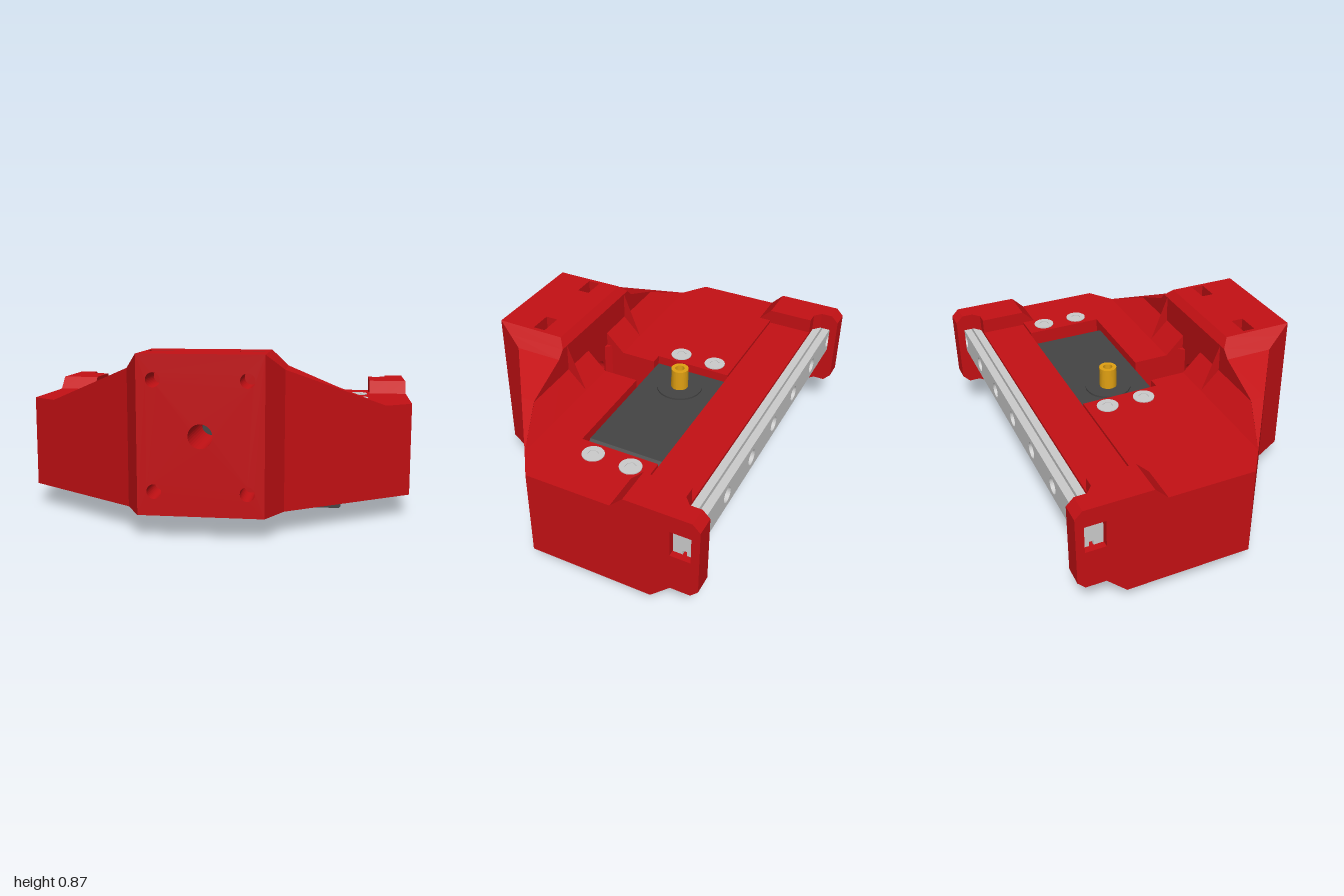
import * as THREE from 'three';

const mat = (color) => new THREE.MeshStandardMaterial({ color });
const red = mat(0xc41014), dark = mat(0x444444), steel = mat(0xcccccc), brass = mat(0xe0a012);

const BASE = 0.11, DECK = 0.585, TOP = 0.87;

function add(parent, name, geometry, material) {
  const mesh = new THREE.Mesh(geometry, material);
  mesh.name = name;
  parent.add(mesh);
  return mesh;
}

function box(x0, x1, y0, y1, z0, z1) {
  return new THREE.BoxGeometry(x1 - x0, y1 - y0, z1 - z0)
    .translate((x0 + x1) / 2, (y0 + y1) / 2, (z0 + z1) / 2);
}

const polygon = (pts) => new THREE.Shape(pts.map(([a, b]) => new THREE.Vector2(a, b)));
const rect = (x0, x1, y0, y1) => polygon([[x0, y0], [x1, y0], [x1, y1], [x0, y1]]);
const circle = (x, y, r) => new THREE.Path().absarc(x, y, r, 0, Math.PI * 2, true);

function extrude(shape, depth) {
  return new THREE.ExtrudeGeometry(shape, { depth, bevelEnabled: false, curveSegments: 16 });
}
// Outline in (x, y), running from z0 to z1
function plateZ(shape, z0, z1, holes = []) {
  shape.holes.push(...holes);
  return extrude(shape, z1 - z0).translate(0, 0, z0);
}
// Outline in (z, y), running from x0 to x1
function prismX(pts, x0, x1, hole) {
  const flip = (list) => polygon(list.map(([z, y]) => [-z, y]));
  const shape = flip(pts);
  if (hole) shape.holes.push(flip(hole));
  return extrude(shape, x1 - x0).rotateY(Math.PI / 2).translate(x0, 0, 0);
}
// Outline in (x, z), running from y0 to y1
function prismY(pts, y0, y1) {
  return extrude(polygon(pts.map(([x, z]) => [x, -z])), y1 - y0)
    .rotateX(-Math.PI / 2).translate(0, y0, 0);
}
// Round upright ring with a bore of any number of sides
function ring(x, z, r, bore, sides, y0, y1) {
  const shape = new THREE.Shape().absarc(0, 0, r, 0, Math.PI * 2);
  const hole = [];
  for (let i = 0; i < sides; i++) {
    const a = (i / sides) * Math.PI * 2;
    hole.push([Math.cos(a) * bore, Math.sin(a) * bore]);
  }
  shape.holes.push(polygon(hole));
  return extrude(shape, y1 - y0).rotateX(-Math.PI / 2).translate(x, y0, z);
}

// Piecewise linear lookup
function lerpTable(table, v) {
  if (v <= table[0][0]) return table[0][1];
  for (let i = 1; i < table.length; i++) {
    const [a, fa] = table[i - 1], [b, fb] = table[i];
    if (v <= b) return fa + (fb - fa) * (v - a) / (b - a);
  }
  return table[table.length - 1][1];
}

// Joins (z, y) cross-sections at rising x into a closed solid
function loft(xs, section) {
  const pos = [];
  const rows = xs.map((x) => section(Math.abs(x)).map(([z, y]) => [x, y, z]));
  const n = rows[0].length;
  const tri = (a, b, c) => pos.push(...a, ...b, ...c);
  for (let k = 0; k + 1 < rows.length; k++) {
    for (let i = 0; i < n; i++) {
      const j = (i + 1) % n;
      tri(rows[k][i], rows[k + 1][i], rows[k + 1][j]);
      tri(rows[k][i], rows[k + 1][j], rows[k][j]);
    }
  }
  const first = rows[0], last = rows[rows.length - 1];
  for (let i = 1; i + 1 < n; i++) {
    tri(first[0], first[i], first[i + 1]);
    tri(last[0], last[i + 1], last[i]);
  }
  const g = new THREE.BufferGeometry();
  g.setAttribute('position', new THREE.Float32BufferAttribute(pos, 3));
  g.computeVertexNormals();
  return g;
}

// Front wing: tapering plan, sloping ridge, stepped back face
const frontZ = (x) => lerpTable([[0.3, 0.735], [0.38, 0.58], [1, 0.14]], x);
const ridgeY = (x) => lerpTable([[0.3, TOP], [0.38, 0.79], [0.866, DECK]], x);
const backZ = (y) => lerpTable([[DECK, 0.235], [0.685, 0.335], [0.83, 0.335], [TOP, 0.37]], y);
function wingSection(x) {
  const f = frontZ(x), h = ridgeY(x);
  const back = [h, 0.83, 0.685, DECK].map((y) => Math.min(y, h))
    .map((y) => [Math.min(backZ(y), f), y]);
  return [[0.045, BASE], [f, BASE], [f, h], ...back, [0.045, DECK]];
}

function buildFrontBlock(body) {
  const screws = () => [-0.22, 0.22].flatMap((x) => [0.225, 0.75].map((y) => circle(x, y, 0.035)));
  const bore = () => circle(0, 0.49, 0.058);
  const full = () => rect(-0.3, 0.3, BASE, TOP);
  add(body, 'frontFace', plateZ(full(), 0.545, 0.735, [...screws(), bore()]), red);
  // Layer with nut slots open above and below
  const half = [[0.16, BASE], [0.16, 0.285], [0.28, 0.285], [0.28, BASE], [0.3, BASE],
    [0.3, TOP], [0.28, TOP], [0.28, 0.69], [0.16, 0.69], [0.16, TOP]];
  const mirrored = half.map(([x, y]) => [-x, y]).reverse();
  add(body, 'nutSlots', plateZ(polygon([...half, ...mirrored]), 0.48, 0.545, [bore()]), red);
  add(body, 'frontBlock', plateZ(full(), 0.37, 0.48, [bore()]), red);
  add(body, 'frontBlockBack', plateZ(rect(-0.3, 0.3, BASE, 0.83), 0.335, 0.37, [bore()]), red);
  add(body, 'frontBlockChamfer', prismX([[0.37, 0.83], [0.37, TOP], [0.335, 0.83]], -0.3, 0.3), red);
}

function buildSide(body, s) {
  const span = (a, b) => (s > 0 ? [a, b] : [-b, -a]);
  const xs = [0.3, 0.34, 0.38, 0.62, 0.866, 1];
  add(body, 'frontWing', loft(s > 0 ? xs : xs.map((x) => -x).reverse(), wingSection), red);
  // Deck beside the central slot, with the slot's corner chamfer
  add(body, 'slotSide', prismX([[0.045, BASE], [0.335, BASE], [0.335, 0.685], [0.235, DECK],
    [0.045, DECK]], ...span(0.1, 0.3)), red);
  add(body, 'slotCorner', prismY([[s * 0.1, 0.335], [s * 0.1, 0.305], [s * 0.07, 0.335]], BASE, 0.61), red);

  // Ear, with an opening for the rail end
  add(body, 'earInner', prismX([[-0.3, DECK], [-0.365, 0.65], [-0.605, 0.65], [-0.605, 0.21],
    [-0.5, BASE], [-0.3, BASE]], ...span(0.8, 0.9)), red);
  add(body, 'earOuter', prismX([[-0.3, DECK], [-0.365, 0.65], [-0.7, 0.65], [-0.738, 0.612],
    [-0.738, 0.25], [-0.7, 0.21], [-0.6, 0.21], [-0.5, BASE], [-0.3, BASE]], ...span(0.9, 1),
    [[-0.595, 0.415], [-0.697, 0.415], [-0.697, 0.558], [-0.595, 0.558]]), red);
  for (const [y0, y1] of [[0.21, 0.415], [0.558, 0.65]]) {
    add(body, 'earChamfer', prismY([[s * 0.9, -0.605], [s * 0.86, -0.605], [s * 0.9, -0.64]], y0, y1), red);
  }
}

function buildBody() {
  const body = new THREE.Group();
  body.name = 'body';
  buildFrontBlock(body);
  buildSide(body, 1);
  buildSide(body, -1);
  // Deck around the motor pocket, wider below for the mounting flange
  for (const [x0, x1, y0, y1] of [[-1, -0.3, BASE, 0.4], [-1, -0.16, 0.4, DECK],
    [0.8, 1, BASE, 0.4], [0.655, 1, 0.4, DECK]]) {
    add(body, 'deck', box(x0, x1, y0, y1, -0.365, 0.045), red);
  }
  add(body, 'rearBeam', prismX([[-0.365, BASE], [-0.5, BASE], [-0.605, 0.21], [-0.605, 0.57],
    [-0.365, 0.57]], -0.8, 0.8), red);
  return body;
}

function buildMotor() {
  const motor = new THREE.Group();
  motor.name = 'motor';
  add(motor, 'motorCase', plateZ(polygon([[-0.14, 0], [0.64, 0], [0.65, 0.01], [0.65, 0.49],
    [0.59, 0.545], [-0.15, 0.545], [-0.15, 0.01]]), -0.36, 0.04), dark);
  add(motor, 'motorFlange', box(-0.28, 0.78, 0.345, 0.4, -0.36, 0.04), dark);
  add(motor, 'shaftBoss', new THREE.CylinderGeometry(0.12, 0.12, 0.04, 32).translate(0, 0.535, -0.16), dark);
  add(motor, 'shaft', ring(0, -0.16, 0.045, 0.024, 20, 0.55, 0.665), brass);
  add(motor, 'shaftBore', new THREE.CylinderGeometry(0.03, 0.03, 0.05, 16).translate(0, 0.58, -0.16), dark);
  return motor;
}

function buildRail() {
  const rail = new THREE.Group();
  rail.name = 'rail';
  // Base, grooved neck and head, with counterbored holes
  const layers = [['railBase', 0.418, 0.555, -0.645, -0.597, 0.022],
    ['railNeck', 0.442, 0.531, -0.665, -0.645, 0.022],
    ['railHead', 0.418, 0.555, -0.695, -0.665, 0.04]];
  for (const [name, y0, y1, z0, z1, r] of layers) {
    const holes = [-0.9, -0.6, -0.3, 0, 0.3, 0.6, 0.9].map((x) => circle(x, (y0 + y1) / 2, r));
    add(rail, name, plateZ(rect(-0.97, 0.97, y0, y1), z0, z1, holes), steel);
  }
  return rail;
}

export function createModel() {
  const model = new THREE.Group();
  model.name = 'motorCarriage';
  model.add(buildBody(), buildMotor(), buildRail());
  // Socket screws holding the motor flange
  for (const x of [-0.23, 0.73]) {
    for (const z of [-0.26, -0.06]) {
      add(model, 'screwHead', ring(x, z, 0.055, 0.027, 6, 0.57, 0.59), steel);
      add(model, 'screwSocket', new THREE.CylinderGeometry(0.04, 0.04, 0.01, 16).translate(x, 0.582, z), steel);
    }
  }
  return model;
}
